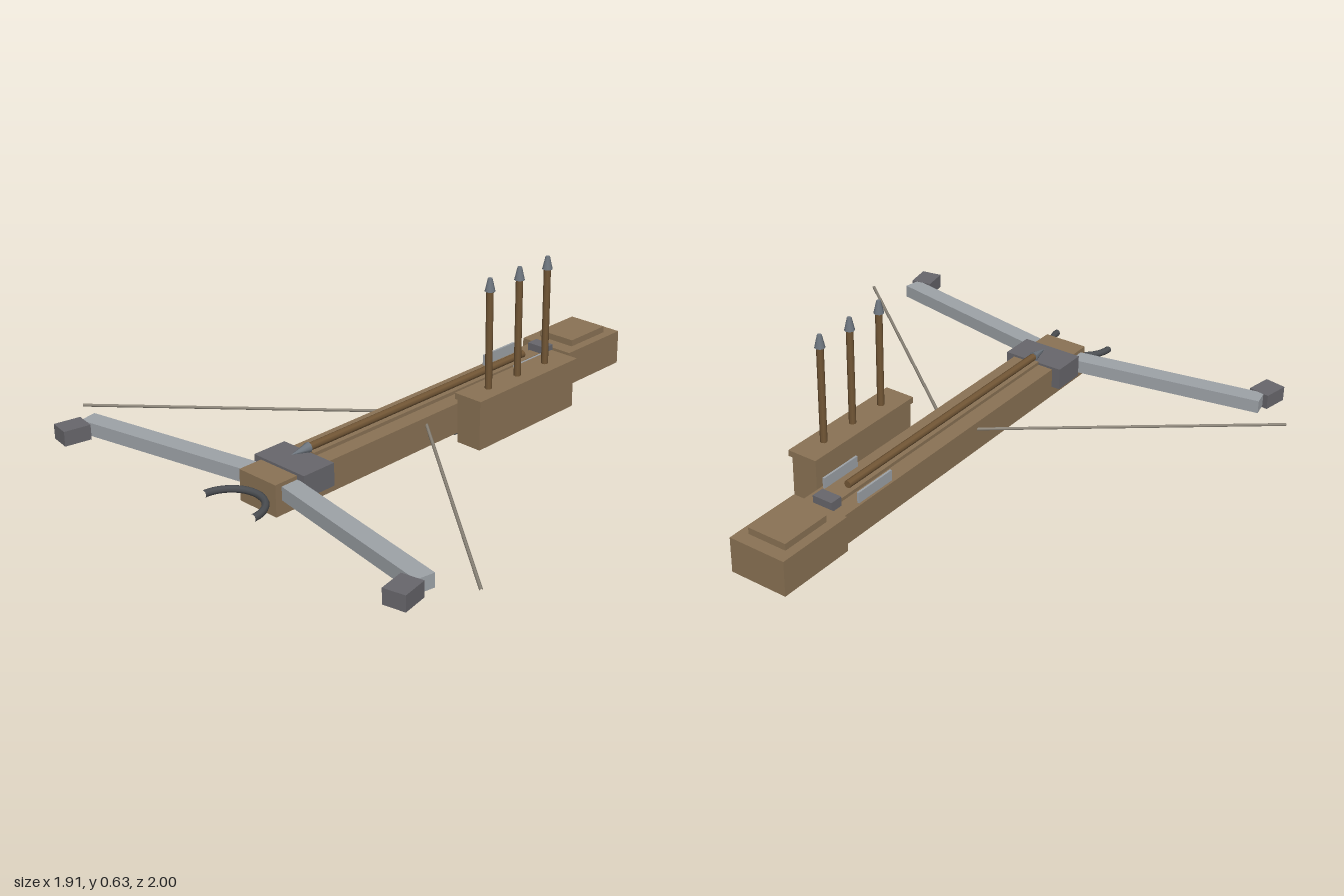
import * as THREE from 'three';

const mat = (name, color, extra = {}) => {
  const m = new THREE.MeshStandardMaterial({ color, ...extra });
  m.name = name;
  return m;
};

export function createModel() {
  const wood = mat('wood', 0x8b7355);
  const shaftWood = mat('shaft wood', 0x735736);
  const steel = mat('light steel', 0x9ea3a8);
  const iron = mat('dark iron', 0x68676c);
  const darkIron = mat('stirrup iron', 0x4b4e52);
  const tipSteel = mat('tip steel', 0x6f7780);
  const cord = mat('cord', 0x8f887c);

  const model = new THREE.Group();
  model.name = 'crossbow';

  const add = (name, geometry, material, parent = model) => {
    const mesh = new THREE.Mesh(geometry, material);
    mesh.name = name;
    parent.add(mesh);
    return mesh;
  };
  // Box given by its limits on each axis
  const box = (name, material, [x0, x1], [y0, y1], [z0, z1], parent) => {
    const mesh = add(name, new THREE.BoxGeometry(x1 - x0, y1 - y0, z1 - z0), material, parent);
    mesh.position.set((x0 + x1) / 2, (y0 + y1) / 2, (z0 + z1) / 2);
    return mesh;
  };

  // Stock
  box('stock', wood, [-0.087, 0.087], [0.025, 0.141], [-0.69, 0.79]);
  box('butt', wood, [-0.113, 0.113], [0.025, 0.158], [-1, -0.69]);
  box('cheekRest', wood, [-0.078, 0.078], [0.158, 0.183], [-0.95, -0.75]);
  box('boltRail', wood, [-0.025, 0.025], [0.141, 0.154], [-0.62, 0.56]);
  box('stringNut', iron, [-0.04, 0.04], [0.141, 0.177], [-0.68, -0.63]);

  // Bow mount, trigger and its plate
  box('bowMount', iron, [-0.12, 0.12], [0.066, 0.15], [0.56, 0.695]);
  box('trigger', iron, [-0.015, 0.015], [0, 0.04], [-0.145, -0.112]);
  box('triggerPlate', darkIron, [-0.077, 0.077], [0.014, 0.03], [-0.105, -0.08]);

  // Foot stirrup, a half ring lying flat
  const stirrup = add('stirrup', new THREE.TorusGeometry(0.12, 0.013, 8, 20, Math.PI), darkIron);
  stirrup.rotation.x = -Math.PI / 2;
  stirrup.position.set(0, 0.085, 0.917);

  // Limbs, limb tips, strings and rail plates on both sides
  for (const s of [1, -1]) {
    const side = s > 0 ? 'left' : 'right';
    const limb = add(side + 'Limb', new THREE.BoxGeometry(0.76, 0.05, 0.07), steel);
    limb.position.set(s * 0.437, 0.102, 0.793);
    limb.rotation.y = -s * 0.185;

    const tip = add(side + 'LimbTip', new THREE.BoxGeometry(0.082, 0.056, 0.1), iron);
    tip.position.set(s * 0.795, 0.1, 0.94);
    tip.rotation.y = s * 0.185;

    const path = new THREE.LineCurve3(
      new THREE.Vector3(s * 0.075, 0.111, 0.068), new THREE.Vector3(s * 0.953, 0.1, 0.78));
    add(side + 'String', new THREE.TubeGeometry(path, 1, 0.006, 6), cord);

    box(side + 'RailPlate', steel,
      s > 0 ? [0.07, 0.078] : [-0.078, -0.07], [0.135, 0.182], [-0.585, -0.41]);
  }

  // Bolt lying in the rail
  const loaded = new THREE.Group();
  loaded.name = 'loadedBolt';
  model.add(loaded);
  const shaft = add('shaft', new THREE.CylinderGeometry(0.014, 0.014, 1.11, 8), shaftWood, loaded);
  shaft.rotation.x = Math.PI / 2;
  shaft.position.set(0, 0.167, 0.005);
  const head = add('head', new THREE.ConeGeometry(0.019, 0.08, 8), tipSteel, loaded);
  head.rotation.x = Math.PI / 2;
  head.position.set(0, 0.167, 0.6);

  // Quiver box with upright bolts
  box('quiver', wood, [0.137, 0.241], [0.025, 0.192], [-0.55, -0.028]);
  box('quiverLid', wood, [0.129, 0.249], [0.192, 0.215], [-0.56, -0.022]);
  for (const z of [-0.132, -0.29, -0.445]) {
    const bolt = new THREE.Group();
    bolt.name = 'quiverBolt';
    bolt.position.set(0.189, 0, z);
    model.add(bolt);
    add('shaft', new THREE.CylinderGeometry(0.013, 0.013, 0.38, 8), shaftWood, bolt).position.y = 0.39;
    add('head', new THREE.CylinderGeometry(0.008, 0.019, 0.048, 8), tipSteel, bolt).position.y = 0.603;
  }
  return model;
}
